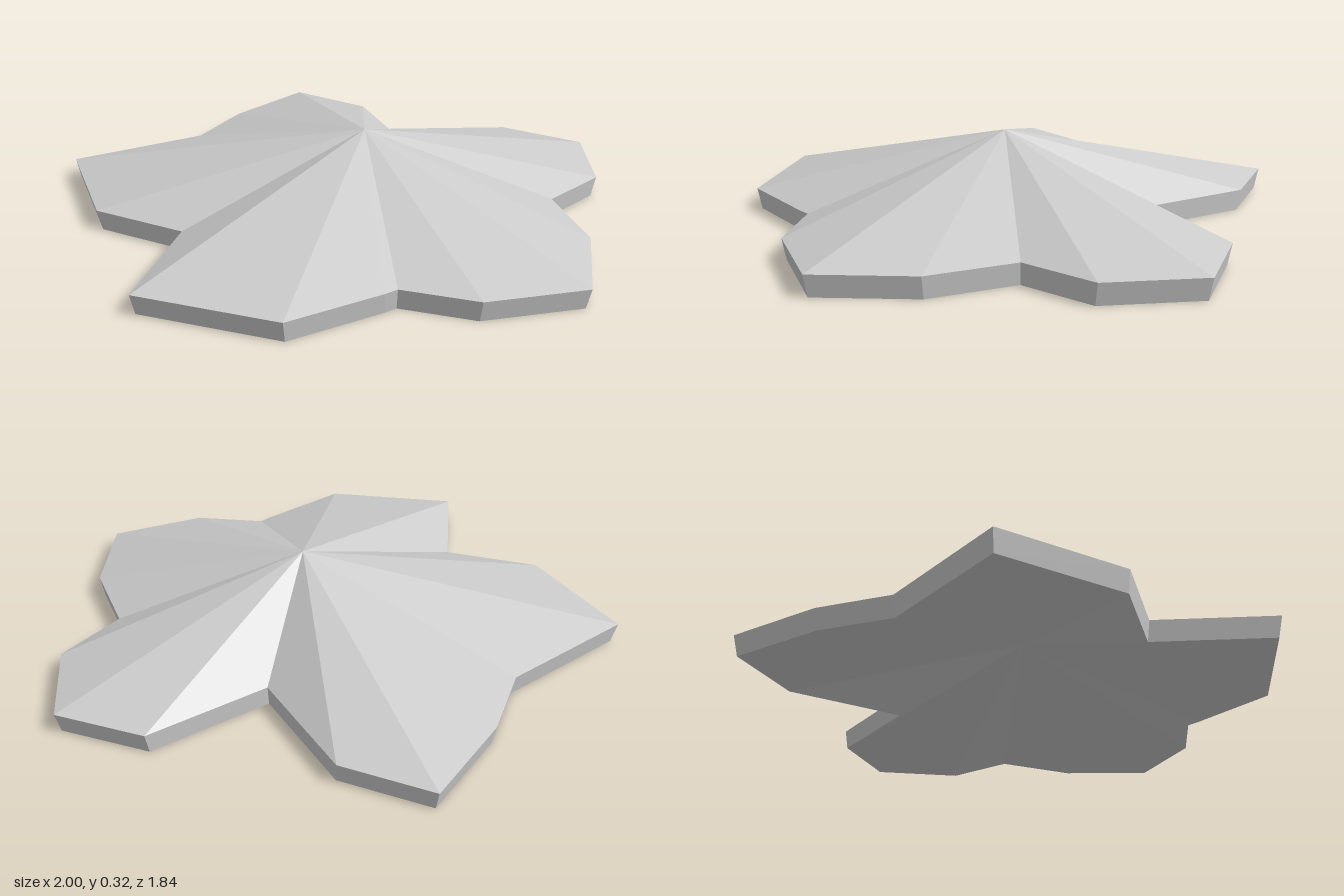
import * as THREE from 'three';

// Rim outline (x, z), clockwise seen from above
const OUTLINE = [
  [-1, 0.03], [-0.625, -0.33], [-0.56, -0.6], [-0.39, -0.925], [-0.07, -0.835],
  [0.205, -0.48], [0.55, -0.77], [0.87, -0.7], [0.955, -0.375], [0.815, -0.14],
  [0.97, 0.125], [1, 0.465], [0.69, 0.635], [0.425, 0.635], [0.395, 0.67],
  [0.145, 0.915], [-0.355, 0.9], [-0.365, 0.47], [-0.715, 0.41],
];
const CENTRE_X = 0.15;
const INSET = 0.983; // the lower rim is drawn in slightly towards the apex

// Ring of points at height y, scaled about the apex axis
const ring = (y, s) => OUTLINE.map(([x, z]) => [CENTRE_X + (x - CENTRE_X) * s, y, z * s]);

// Flat-faced mesh built from a list of triangles
function facetMesh(name, triangles, material) {
  const geometry = new THREE.BufferGeometry();
  geometry.setAttribute('position', new THREE.Float32BufferAttribute(triangles.flat(2), 3));
  geometry.computeVertexNormals();
  const mesh = new THREE.Mesh(geometry, material);
  mesh.name = name;
  return mesh;
}

export function createModel() {
  const group = new THREE.Group();
  group.name = 'lobedCanopy';
  const grey = new THREE.MeshStandardMaterial({ color: 0xcccccc });
  grey.name = 'lightGrey';

  const upper = ring(0.075, 1);
  const lower = ring(0, INSET);
  const topApex = [CENTRE_X, 0.325, 0];
  const innerApex = [CENTRE_X, 0.245, 0];

  const top = [], edge = [], underside = [];
  for (let i = 0; i < OUTLINE.length; i++) {
    const j = (i + 1) % OUTLINE.length;
    top.push([topApex, upper[j], upper[i]]);
    underside.push([innerApex, lower[i], lower[j]]);
    edge.push([upper[i], upper[j], lower[j]], [upper[i], lower[j], lower[i]]);
  }

  group.add(
    facetMesh('topSurface', top, grey),
    facetMesh('rimEdge', edge, grey),
    facetMesh('hollowUnderside', underside, grey),
  );
  return group;
}
